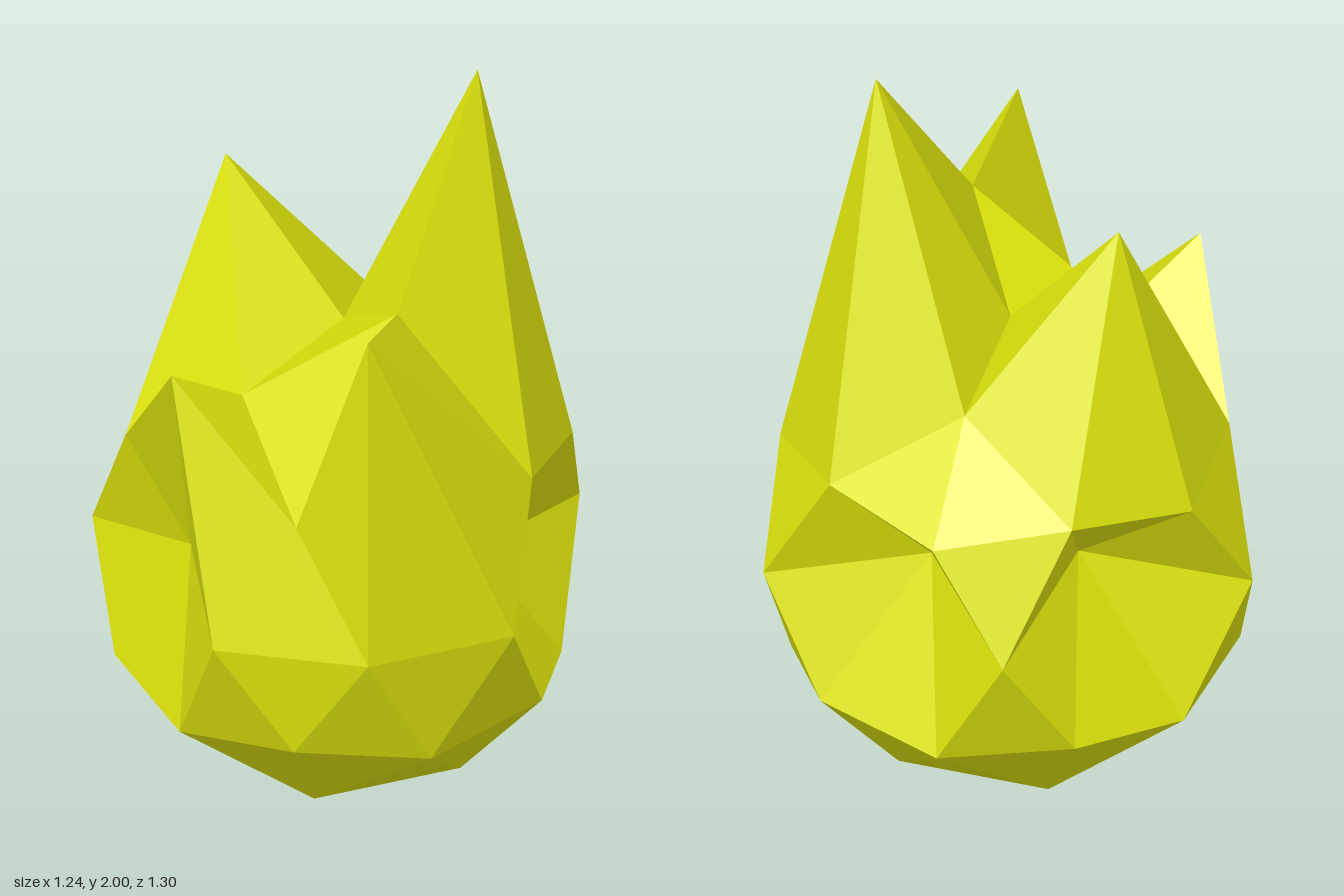
import * as THREE from 'three';

const R = 0.65; // radius of the faceted ball the bud grows from

// Rings of the ball: [height, radius] as fractions of R
const RINGS = {
  bottom: [-1, 0], base: [-0.851, 0.526], low: [-0.447, 0.894], lowMid: [-0.526, 0.851],
  belt: [0, 1], high: [0.447, 0.894], highMid: [0.526, 0.851], crown: [0.851, 0.526], top: [1, 0],
};

// Corners pulled out into pointed tips or pushed in as dents, keyed by ring and angle
const MOVED = {
  crown0: [0.34, 2.0, 0],          // tallest tip
  crown216: [-0.28, 1.68, -0.2],   // back tip
  crown72: [0.105, 1.485, 0.325],
  high72: [0, 1.58, 0.64],         // front tip
  high144: [-0.47, 1.345, 0.34],   // side tip
  belt18: [0.32, 0.69, 0.13],      // dents
  belt162: [-0.4, 0.74, 0.13],
  belt234: [-0.18, 0.78, -0.28],
  belt306: [0.19, 0.78, -0.3],
};

// Position of a ring corner; angles run from +x towards +z
function corner(ring, angle = 0) {
  const deg = ((angle % 360) + 360) % 360;
  const moved = MOVED[ring + deg];
  if (moved) return moved;
  const [h, r] = RINGS[ring];
  const a = THREE.MathUtils.degToRad(deg);
  return [R * r * Math.cos(a), R * (1 + h), R * r * Math.sin(a)];
}

export function createModel() {
  const positions = [];
  const tri = (a, b, c) => positions.push(...a, ...c, ...b);
  // One large face split in four by its edge midpoints
  const split = (a, b, c, ab, bc, ca) => {
    tri(a, ab, ca);
    tri(ab, b, bc);
    tri(ca, bc, c);
    tri(ab, bc, ca);
  };

  for (let t = 0; t < 360; t += 72) {
    const p = (ring, offset) => corner(ring, t + offset);
    // underside
    split(corner('bottom'), p('low', 108), p('low', 36),
      p('base', 108), p('lowMid', 72), p('base', 36));
    // side faces pointing up
    split(p('low', 36), p('low', 108), p('high', 72),
      p('lowMid', 72), p('belt', 90), p('belt', 54));
    // side faces pointing down
    split(p('low', 36), p('high', 72), p('high', 0),
      p('belt', 54), p('highMid', 36), p('belt', 18));
    // crown
    split(p('high', 0), p('high', 72), corner('top'),
      p('highMid', 36), p('crown', 72), p('crown', 0));
  }

  const geometry = new THREE.BufferGeometry();
  geometry.setAttribute('position', new THREE.Float32BufferAttribute(positions, 3));
  geometry.computeVertexNormals();

  const bud = new THREE.Mesh(geometry,
    new THREE.MeshStandardMaterial({ color: 0xdde40c, flatShading: true }));
  bud.name = 'spikedBud';

  const group = new THREE.Group();
  group.name = 'bud';
  group.add(bud);
  return group;
}
